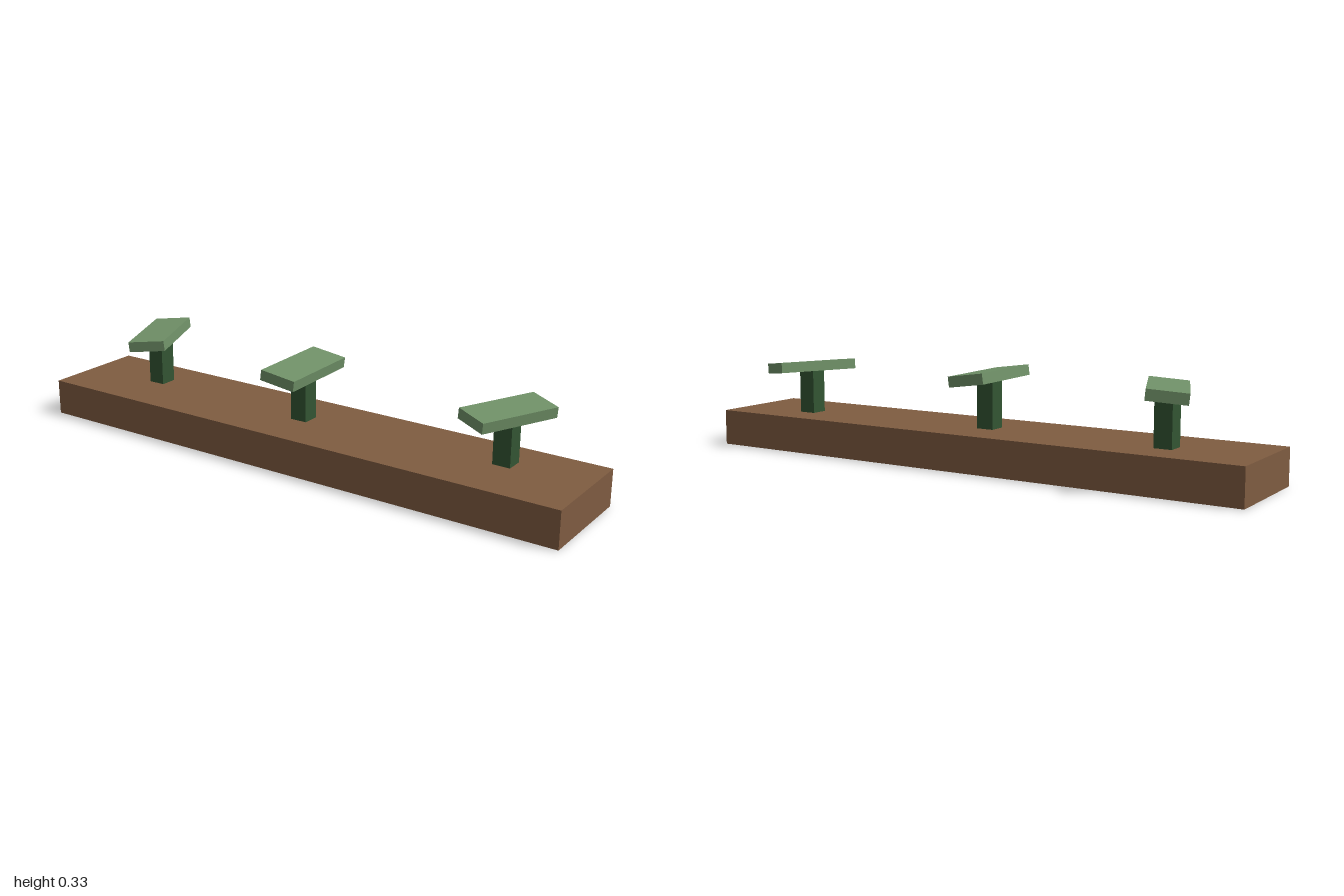
import * as THREE from 'three';

const mat = (name, color) => {
  const m = new THREE.MeshStandardMaterial({ color, side: THREE.DoubleSide });
  m.name = name;
  return m;
};

// Box shell without its bottom face (the fourth group of six indices)
function openBox(w, h, d) {
  const g = new THREE.BoxGeometry(w, h, d);
  const index = Array.from(g.index.array);
  index.splice(18, 6);
  g.setIndex(index);
  g.clearGroups();
  return g;
}

export function createModel() {
  const brown = mat('soil brown', 0x7f5c41);
  const darkGreen = mat('stem green', 0x335533);
  const green = mat('leaf green', 0x709168);
  const model = new THREE.Group();
  model.name = 'planter';

  const add = (parent, name, geometry, material, x, y, z) => {
    const mesh = new THREE.Mesh(geometry, material);
    mesh.name = name;
    mesh.position.set(x, y, z);
    parent.add(mesh);
    return mesh;
  };

  // Hollow planter bed
  add(model, 'bed', openBox(2, 0.125, 0.375), brown, 0, 0.0625, 0.008);

  // Plants: position, leaf height, leaf width and length, turn and tilt in degrees
  const plants = [
    { x: -0.688, z: -0.025, y: 0.302, w: 0.13, l: 0.314, turn: 23.5, tilt: 5.5 },
    { x: -0.032, z: 0, y: 0.301, w: 0.13, l: 0.312, turn: 2, tilt: -8 },
    { x: 0.711, z: -0.03, y: 0.291, w: 0.121, l: 0.288, turn: -24.7, tilt: -6.5 },
  ];
  for (const p of plants) {
    const plant = new THREE.Group();
    plant.name = 'plant';
    plant.position.set(p.x, 0, p.z);
    add(plant, 'stem', openBox(0.061, 0.165, 0.061), darkGreen, 0, 0.2075, 0);
    const leaf = add(plant, 'leaf', openBox(p.w, 0.036, p.l), green, 0, p.y, 0);
    leaf.rotation.set(0, THREE.MathUtils.degToRad(p.turn), THREE.MathUtils.degToRad(p.tilt), 'YXZ');
    model.add(plant);
  }
  return model;
}
